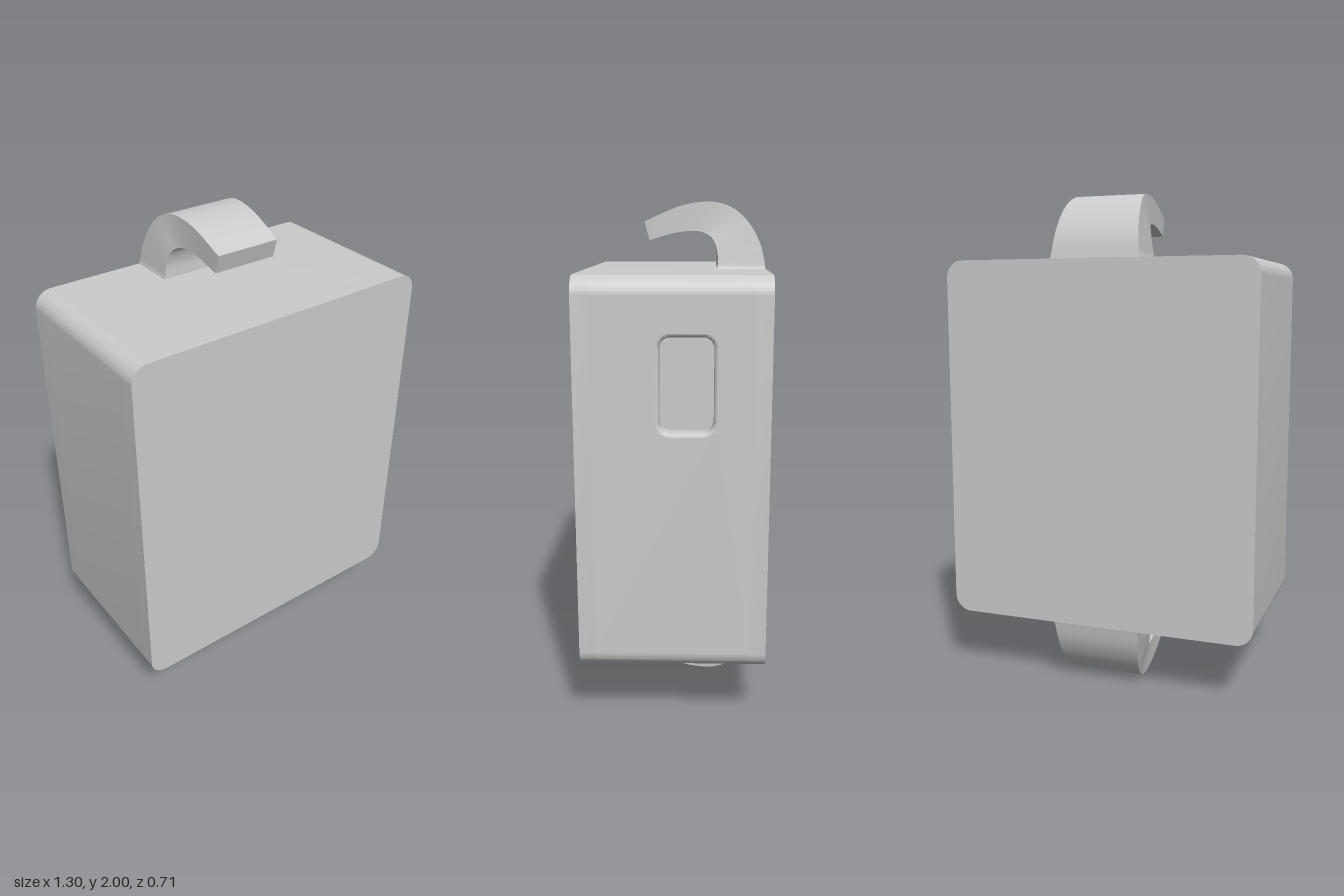
import * as THREE from 'three';
import { toCreasedNormals } from 'three/addons/utils/BufferGeometryUtils.js';

const W = 0.65, H = 0.743, D = 0.355; // half sizes of the case
const R = 0.07, T = 0.06;             // corner radius, wall thickness
const SLOT = { u: 0.052, y: 0.357, w: 0.098, h: 0.172, r: 0.04, lip: 0.014 };

const material = new THREE.MeshStandardMaterial({ color: 0xcccccc });
const thinMaterial = new THREE.MeshStandardMaterial({ color: 0xcccccc, side: THREE.DoubleSide });

function part(name, geometry, mat = material) {
  const mesh = new THREE.Mesh(toCreasedNormals(geometry, 0.6), mat);
  mesh.name = name;
  return mesh;
}

function roundedRect(path, cx, cy, w, h, r) {
  path.moveTo(cx + w, cy - h + r);
  path.lineTo(cx + w, cy + h - r);
  path.absarc(cx + w - r, cy + h - r, r, 0, Math.PI / 2);
  path.absarc(cx - w + r, cy + h - r, r, Math.PI / 2, Math.PI);
  path.absarc(cx - w + r, cy - h + r, r, Math.PI, Math.PI * 1.5);
  path.absarc(cx + w - r, cy - h + r, r, Math.PI * 1.5, Math.PI * 2);
  return path;
}

const extrude = (shape, depth) =>
  new THREE.ExtrudeGeometry(shape, { depth, bevelEnabled: false, curveSegments: 12 });

// Slot outline grown by an offset
const slotOutline = (path, grow) => roundedRect(path, SLOT.u, SLOT.y,
  SLOT.w + grow, SLOT.h + grow, SLOT.r + grow);

// Quad surface between successive loops of points
function loft(loops, closed) {
  const pos = [];
  for (let i = 0; i < loops.length - 1; i++) {
    const a = loops[i], b = loops[i + 1], n = a.length;
    for (let j = 0; j < (closed ? n : n - 1); j++) {
      const k = (j + 1) % n;
      for (const p of [a[j], a[k], b[k], a[j], b[k], b[j]]) pos.push(...p);
    }
  }
  const g = new THREE.BufferGeometry();
  g.setAttribute('position', new THREE.Float32BufferAttribute(pos, 3));
  return g;
}

// Hollow case: plates, wrapped wall and the slotted side panel
function createCase() {
  const group = new THREE.Group();
  group.name = 'case';

  const plate = roundedRect(new THREE.Shape(), 0, 0, W, H, R);
  group.add(part('frontPlate', extrude(plate, T).translate(0, 0, D - T)));
  group.add(part('backPlate', extrude(plate, T).translate(0, 0, -D)));

  const wall = new THREE.Shape();
  wall.moveTo(W, H - R);
  wall.absarc(W - R, H - R, R, 0, Math.PI / 2);
  wall.absarc(-W + R, H - R, R, Math.PI / 2, Math.PI);
  wall.absarc(-W + R, -H + R, R, Math.PI, Math.PI * 1.5);
  wall.absarc(W - R, -H + R, R, Math.PI * 1.5, Math.PI * 2);
  wall.lineTo(W - T, -H + R);
  wall.lineTo(W - T, -H + T);
  wall.lineTo(-W + T, -H + T);
  wall.lineTo(-W + T, H - T);
  wall.lineTo(W - T, H - T);
  wall.lineTo(W - T, H - R);
  group.add(part('wrappedWall', extrude(wall, 2 * (D - T)).translate(0, 0, -D + T)));

  const panel = new THREE.Shape();
  const pw = D - T, ph = H - R;
  panel.moveTo(-pw, -ph);
  panel.lineTo(pw, -ph);
  panel.lineTo(pw, ph);
  panel.lineTo(-pw, ph);
  panel.closePath();
  panel.holes.push(slotOutline(new THREE.Path(), SLOT.lip));
  group.add(part('slottedPanel', extrude(panel, T).rotateY(Math.PI / 2).translate(W - T, 0, 0)));

  // Rounded lip of the slot, running through the wall
  const loops = [];
  for (let i = 0; i <= 6; i++) {
    const a = (i / 6) * Math.PI / 2;
    const grow = SLOT.lip * (1 - Math.sin(a)), x = W - SLOT.lip * (1 - Math.cos(a));
    loops.push(slotOutline(new THREE.Path(), grow).getPoints(12).map(p => [x, p.y, -p.x]));
  }
  loops.push(loops[6].map(p => [W - T, p[1], p[2]]));
  group.add(part('slotLip', loft(loops, true), thinMaterial));
  return group;
}

// Curved hook tapering towards its tip
function createHook(name) {
  const curve = pts => new THREE.SplineCurve(pts.map(p => new THREE.Vector2(...p)));
  const outer = curve([[-0.354, 0.743], [-0.335, 0.83], [-0.29, 0.915], [-0.225, 0.975],
    [-0.14, 1.0], [-0.02, 0.985], [0.125, 0.925]]);
  const inner = curve([[-0.165, 0.743], [-0.165, 0.80], [-0.15, 0.85], [-0.125, 0.875],
    [-0.08, 0.888], [0, 0.882], [0.105, 0.852]]);
  const n = 40, loops = [];
  for (let i = 0; i <= n; i++) {
    const t = i / n, o = outer.getPoint(t), q = inner.getPoint(t);
    const wo = 0.187 - 0.054 * outer.getUtoTmapping(0, t * outer.getLength()) ** 0.9;
    loops.push([[-wo, o.y, o.x], [wo, o.y, o.x], [wo, q.y, q.x], [-wo, q.y, q.x]]);
  }
  // Close the tip by collapsing the last section to its centre
  const tip = loops[n];
  const mid = [0, (tip[0][1] + tip[2][1]) / 2, (tip[0][2] + tip[2][2]) / 2];
  loops.push(tip.map(() => mid));
  return part(name, loft(loops, true), thinMaterial);
}

export function createModel() {
  const model = new THREE.Group();
  model.name = 'hookedCase';
  const body = new THREE.Group();
  body.name = 'body';
  body.position.y = 1;
  const topHook = createHook('topHook');
  const bottomHook = createHook('bottomHook');
  bottomHook.rotation.z = Math.PI;
  body.add(createCase(), topHook, bottomHook);
  model.add(body);
  return model;
}
